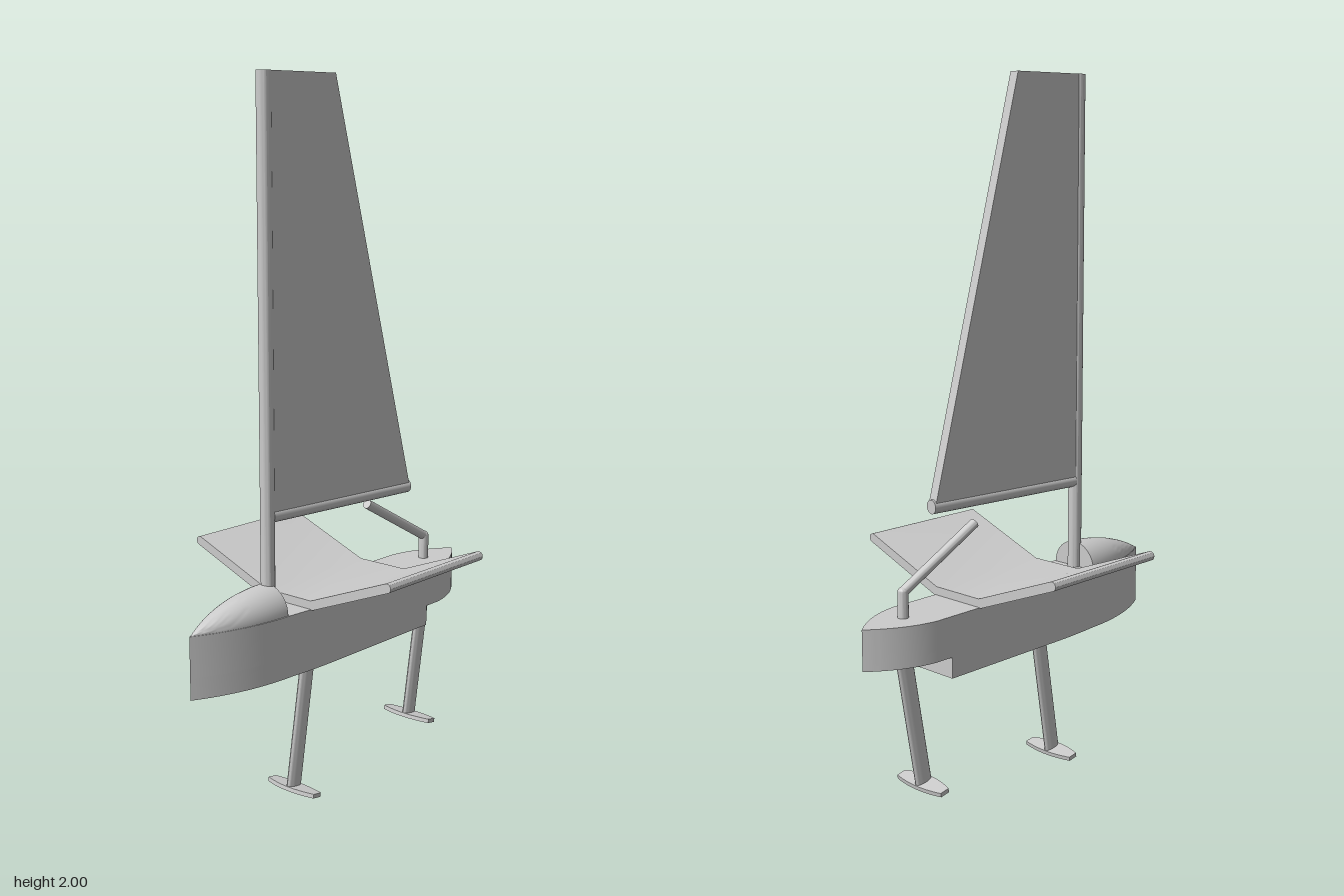
import * as THREE from 'three';
import { toCreasedNormals } from 'three/addons/utils/BufferGeometryUtils.js';

const mat = new THREE.MeshStandardMaterial({ color: 0xcccccc });

function add(parent, name, geometry) {
  const mesh = new THREE.Mesh(toCreasedNormals(geometry, 0.6), mat);
  mesh.name = name;
  parent.add(mesh);
  return mesh;
}

const extrude = (shape, depth) =>
  new THREE.ExtrudeGeometry(shape, { depth, bevelEnabled: false, curveSegments: 20 });

// Horizontal slab from a plan outline, between two heights
function slab(shape, y0, y1) {
  return extrude(shape, y1 - y0).rotateX(-Math.PI / 2).translate(0, y0, 0);
}

// Round bar between two points
function bar(a, b, r) {
  const d = b.clone().sub(a);
  const g = new THREE.CylinderGeometry(r, r, d.length(), 20);
  g.applyQuaternion(new THREE.Quaternion().setFromUnitVectors(new THREE.Vector3(0, 1, 0), d.normalize()));
  return g.translate((a.x + b.x) / 2, (a.y + b.y) / 2, (a.z + b.z) / 2);
}

// Pointed hull plan; the lower part is cut square ahead of the rudder
function hullPlan(cutStern) {
  const s = new THREE.Shape();
  s.moveTo(-0.565, 0);
  s.quadraticCurveTo(-0.43, -0.076, -0.26, -0.08);
  s.quadraticCurveTo(-0.18, -0.088, -0.1, -0.088);
  if (cutStern) {
    s.lineTo(0.325, -0.088);
    s.lineTo(0.325, 0.088);
  } else {
    s.lineTo(0.38, -0.088);
    s.quadraticCurveTo(0.48, -0.076, 0.565, 0);
    s.quadraticCurveTo(0.48, 0.076, 0.38, 0.088);
  }
  s.lineTo(-0.1, 0.088);
  s.quadraticCurveTo(-0.18, 0.088, -0.26, 0.08);
  s.quadraticCurveTo(-0.43, 0.076, -0.565, 0);
  return s;
}

// Raked strut with a small horizontal wing at its foot
function foil(name, x, yTop, yFoot, footX) {
  const group = new THREE.Group();
  group.name = name;
  const rake = Math.atan2(x - footX, yTop - yFoot);
  const length = Math.hypot(x - footX, yTop - yFoot) + 0.03;
  group.position.set(footX, yFoot, 0);
  group.rotation.z = -rake;
  add(group, 'strut', new THREE.CylinderGeometry(0.028, 0.028, length, 24)
    .scale(1, 1, 0.4).translate(0, length / 2, 0));
  const plan = new THREE.Shape();
  plan.moveTo(-0.012, -0.088);
  plan.lineTo(0.018, -0.088);
  plan.quadraticCurveTo(0.04, 0, 0.018, 0.088);
  plan.lineTo(-0.012, 0.088);
  plan.quadraticCurveTo(-0.046, 0, -0.012, -0.088);
  add(group, 'foilWing', slab(plan, -0.006, 0.006));
  return group;
}

export function createModel() {
  const model = new THREE.Group();
  model.name = 'foilingDinghy';
  const V = (x, y, z) => new THREE.Vector3(x, y, z);

  // Hull in two levels
  add(model, 'hull', slab(hullPlan(false), 0.45, 0.565));
  add(model, 'hullBottom', slab(hullPlan(true), 0.39, 0.45));

  // Domed foredeck, ending square behind the mast
  const bow = new THREE.QuadraticBezierCurve(
    new THREE.Vector2(0, -0.562), new THREE.Vector2(0.074, -0.43), new THREE.Vector2(0.075, -0.27));
  const profile = [...bow.getPoints(16), new THREE.Vector2(0, -0.27)];
  add(model, 'foredeck', new THREE.LatheGeometry(profile, 40)
    .rotateZ(-Math.PI / 2).translate(0, 0.565, 0));

  // Seat deck with raised side wings, rounded along the outer edges
  const deck = new THREE.Shape();
  deck.moveTo(-0.09, 0.563);
  deck.lineTo(0.09, 0.563);
  deck.lineTo(0.357, 0.668);
  deck.absarc(0.352, 0.68, 0.013, -1.18, 1.96, false);
  deck.lineTo(0.083, 0.589);
  deck.lineTo(-0.083, 0.589);
  deck.lineTo(-0.347, 0.692);
  deck.absarc(-0.352, 0.68, 0.013, 1.18, 4.32, false);
  deck.closePath();
  add(model, 'wingDeck', extrude(deck, 0.41).rotateY(Math.PI / 2).translate(-0.19, 0, 0));

  // Mast, boom and sail swing together around the mast
  const rig = new THREE.Group();
  rig.name = 'rig';
  rig.position.x = -0.27;
  rig.rotation.y = -0.104;
  model.add(rig);
  add(rig, 'mast', bar(V(0, 0.56, 0), V(0, 2, 0), 0.02));
  add(rig, 'boom', bar(V(0.01, 0.83, 0), V(0.535, 0.83, 0), 0.02));
  const sail = new THREE.Shape([[0.005, 0.83], [0.533, 0.83], [0.237, 2], [0.005, 2]]
    .map(([x, y]) => new THREE.Vector2(x, y)));
  add(rig, 'sail', extrude(sail, 0.032).translate(0, 0, -0.016));

  // Bent tiller on the rudder post
  const tiller = new THREE.Group();
  tiller.name = 'tiller';
  model.add(tiller);
  const bend = V(0.42, 0.635, 0);
  add(tiller, 'rudderPost', bar(V(0.42, 0.555, 0), bend, 0.015));
  add(tiller, 'tillerBend', new THREE.SphereGeometry(0.015, 20, 12).translate(...bend));
  add(tiller, 'tillerArm', bar(bend, V(0.165, 0.78, -0.014), 0.014));

  // Main foil and rudder foil
  model.add(foil('mainFoil', -0.11, 0.39, 0.011, -0.173));
  model.add(foil('rudderFoil', 0.42, 0.45, 0.072, 0.354));
  return model;
}
